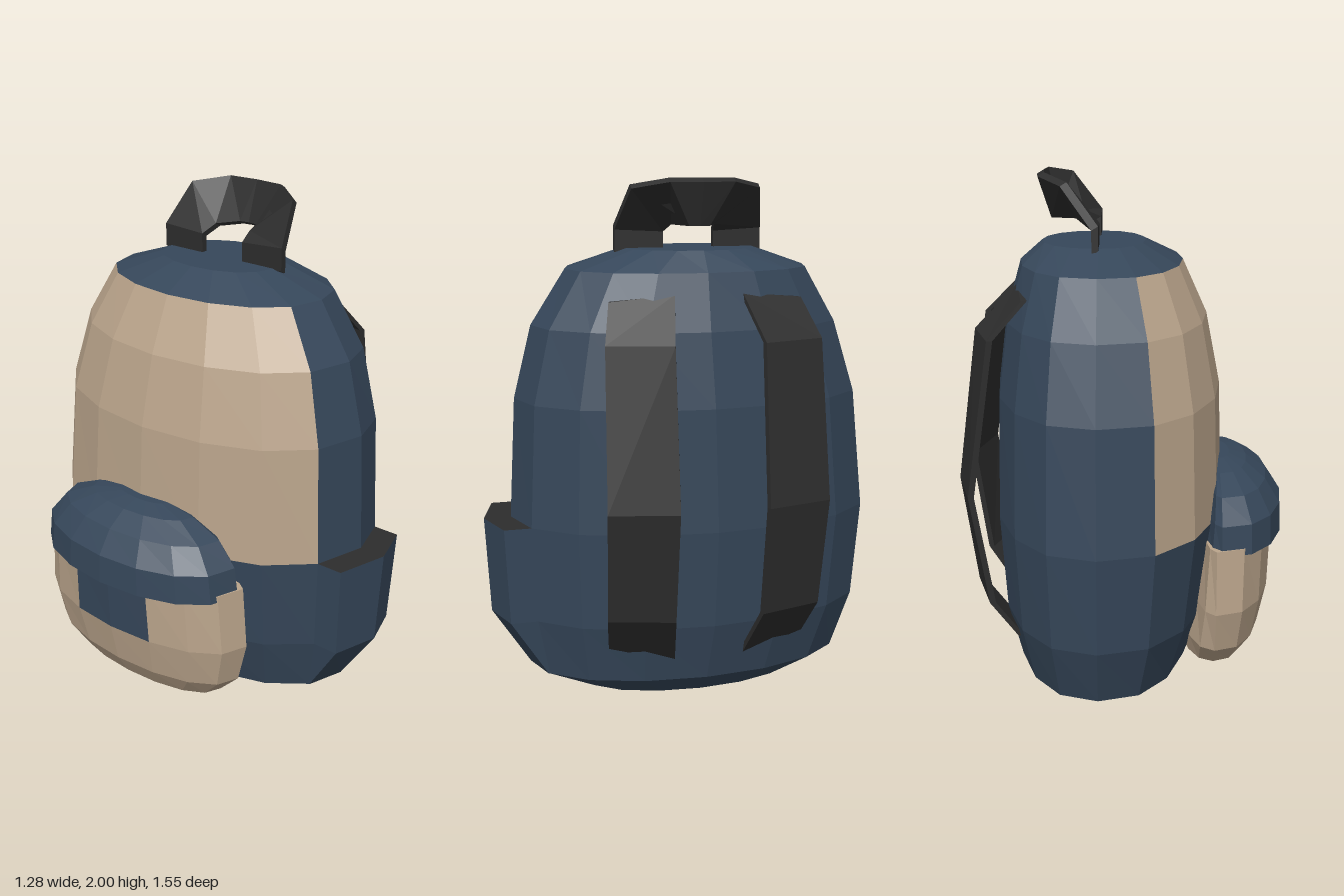
import * as THREE from 'three';

const BLUE = 0x36475a, TAN = 0xbba58c, BLACK = 0x2d2d2d;
const SIDES = 16, MID_Z = -0.04;

// Mesh from a list of quads or triangles, each an array of [x, y, z] corners
function facesMesh(name, color, faces) {
  const pos = [];
  for (const f of faces)
    for (let i = 1; i < f.length - 1; i++) pos.push(...f[0], ...f[i], ...f[i + 1]);
  const geo = new THREE.BufferGeometry();
  geo.setAttribute('position', new THREE.Float32BufferAttribute(pos, 3));
  geo.computeVertexNormals();
  const mesh = new THREE.Mesh(geo, new THREE.MeshStandardMaterial({
    color, flatShading: true, side: THREE.DoubleSide }));
  mesh.name = name;
  return mesh;
}

// Point k of a rounded ring [y, xMin, xMax, zMin, zMax] whose widest line is x = cx
function ringPoint([y, x0, x1, z0, z1], cx, k) {
  const a = (k % SIDES) * Math.PI * 2 / SIDES, s = Math.sin(a);
  const puff = Math.sign(s) * Math.pow(Math.abs(s), 0.87);
  return [cx + puff * (s < 0 ? cx - x0 : x1 - cx), y,
    (z0 + z1) / 2 - Math.cos(a) * (z1 - z0) / 2];
}

// Closed stack of rings; pick(row, column) says which faces get the second colour
function shell(name, rings, cx, color, color2, name2, pick = () => false) {
  const main = [], accent = [], loops = rings.map(r =>
    Array.from({ length: SIDES }, (_, k) => ringPoint(r, cx, k)));
  for (let r = 0; r < rings.length - 1; r++)
    for (let k = 0; k < SIDES; k++) {
      const n = (k + 1) % SIDES;
      (pick(r, k) ? accent : main).push(
        [loops[r][k], loops[r + 1][k], loops[r + 1][n], loops[r][n]]);
    }
  main.push(loops[0], [...loops[loops.length - 1]].reverse());
  const g = new THREE.Group();
  g.name = name;
  g.add(facesMesh(name + 'Shell', color, main));
  if (accent.length) g.add(facesMesh(name2, color2, accent));
  return g;
}

// Thin band through stations of [edgeA, edgeB], thickened by an offset vector
function band(name, stations, off) {
  const add = p => p.map((v, i) => v + off[i]);
  const loops = stations.map(([a, b]) => [a, b, add(b), add(a)]);
  const faces = [loops[0], [...loops[loops.length - 1]].reverse()];
  for (let i = 0; i < loops.length - 1; i++)
    for (let k = 0; k < 4; k++) {
      const n = (k + 1) % 4;
      faces.push([loops[i][k], loops[i + 1][k], loops[i + 1][n], loops[i][n]]);
    }
  return facesMesh(name, BLACK, faces);
}

export function createModel() {
  const model = new THREE.Group();
  model.name = 'backpack';

  // Main bag with a pale front panel
  const bagX = 0.085;
  const bag = [
    [0, -0.10, 0.32, -0.48, 0.40],
    [0.09, -0.27, 0.42, -0.67, 0.60],
    [0.32, -0.35, 0.475, -0.75, 0.65],
    [0.70, -0.40, 0.50, -0.78, 0.67],
    [1.17, -0.385, 0.49, -0.73, 0.645],
    [1.45, -0.33, 0.455, -0.64, 0.575],
    [1.66, -0.235, 0.395, -0.515, 0.44],
    [1.735, -0.09, 0.31, -0.30, 0.21],
  ];
  model.add(shell('bag', bag, bagX, BLUE, TAN, 'frontPanel',
    (r, k) => r >= 3 && r <= 5 && k >= 9 && k <= 14));

  // Front pocket with a small flap hanging from its lid
  const sized = ([y, x0, x1, w]) => [y, x0, x1, MID_Z - w, MID_Z + w];
  const pocket = [
    [0.09, -0.46, -0.28, 0.26],
    [0.125, -0.505, -0.235, 0.37],
    [0.215, -0.56, -0.235, 0.46],
    [0.38, -0.595, -0.27, 0.50],
    [0.63, -0.605, -0.305, 0.48],
  ].map(sized);
  model.add(shell('frontPocket', pocket, -0.36, TAN, BLUE, 'pocketFlap',
    (r, k) => r === 3 && (k === 11 || k === 12)));

  const lid = [
    [0.605, -0.645, -0.30, 0.47],
    [0.72, -0.64, -0.32, 0.455],
    [0.81, -0.58, -0.335, 0.38],
    [0.865, -0.50, -0.355, 0.25],
    [0.885, -0.43, -0.37, 0.12],
  ].map(sized);
  model.add(shell('pocketLid', lid, -0.38, BLUE));

  // Side pocket: two columns of the bag pushed outwards
  const cols = [7, 8, 9];
  const inner = bag.slice(1, 4).map(r => cols.map(k => ringPoint(r, bagX, k)));
  const outer = inner.map((row, i) => row.map(([x, y, z]) => [x, y, z + (i ? 0.105 : 0.005)]));
  const walls = [], rim = [];
  for (let r = 0; r < 2; r++) {
    for (let c = 0; c < 2; c++)
      walls.push([outer[r][c], outer[r + 1][c], outer[r + 1][c + 1], outer[r][c + 1]]);
    walls.push([inner[r][0], inner[r + 1][0], outer[r + 1][0], outer[r][0]],
      [outer[r][2], outer[r + 1][2], inner[r + 1][2], inner[r][2]]);
  }
  for (let c = 0; c < 2; c++)
    rim.push([inner[2][c], inner[2][c + 1], outer[2][c + 1], outer[2][c]].reverse());
  model.add(facesMesh('sidePocket', BLUE, walls), facesMesh('sidePocketOpening', BLACK, rim));

  // Shoulder straps: [x, y, distance from the middle] of the inner and outer edges
  const strap = [
    [[0.40, 1.585, 0.13], [0.365, 1.56, 0.37]],
    [[0.56, 1.42, 0.17], [0.49, 1.42, 0.41]],
    [[0.638, 0.82, 0.17], [0.575, 0.82, 0.425]],
    [[0.575, 0.39, 0.17], [0.505, 0.39, 0.415]],
    [[0.42, 0.17, 0.135], [0.40, 0.24, 0.39]],
  ];
  for (const [name, side] of [['strapNear', 1], ['strapFar', -1]])
    model.add(band(name, strap.map(s => s.map(([x, y, d]) => [x, y, MID_Z + side * d])),
      [-0.022, 0, -0.006 * side]));

  // Carry handle: half of the arch, mirrored about the middle
  const half = [
    [[0.085, 1.73, 0.29], [0.085, 1.73, 0.10]],
    [[0.085, 1.82, 0.29], [0.085, 1.81, 0.10]],
    [[0.20, 1.975, 0.25], [0.15, 1.84, 0.085]],
    [[0.29, 2.0, 0.125], [0.245, 1.838, 0.04]],
  ];
  const arch = [...half, [[0.30, 2.0, 0], [0.25, 1.838, 0]],
    ...half.map(s => s.map(([x, y, d]) => [x, y, -d])).reverse()];
  model.add(band('carryHandle', arch.map(s => s.map(([x, y, d]) => [x, y, MID_Z + d])),
    [0.025, -0.015, 0]));

  return model;
}
